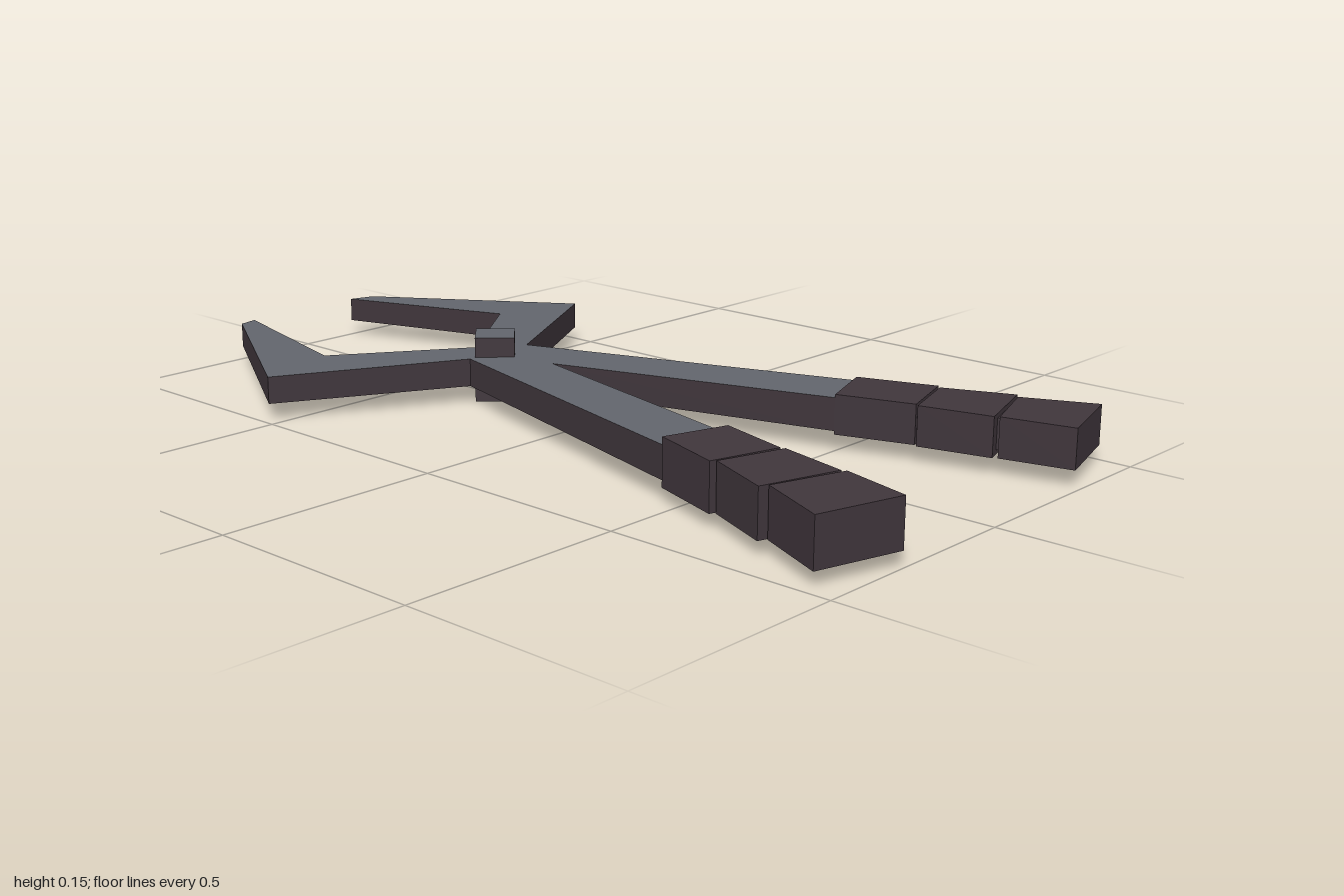
import * as THREE from 'three';

export function createModel() {
  const group = new THREE.Group();
  const steel = new THREE.MeshStandardMaterial({ color: 0x63666d });
  steel.name = 'steel grey';
  const dark = new THREE.MeshStandardMaterial({ color: 0x40363c });
  dark.name = 'dark brown';

  // Upright prism over an [x, z] outline; bottom and top heights vary along z.
  function prism(name, outline, bottom, top, capMaterial) {
    const shape = new THREE.Shape(outline.map(([x, z]) => new THREE.Vector2(x, -z)));
    const geo = new THREE.ExtrudeGeometry(shape, { depth: 1, bevelEnabled: false });
    geo.rotateX(-Math.PI / 2);
    const p = geo.attributes.position;
    for (let i = 0; i < p.count; i++) {
      const z = p.getZ(i);
      p.setY(i, THREE.MathUtils.lerp(bottom(z), top(z), p.getY(i)));
    }
    geo.computeVertexNormals();
    const mesh = new THREE.Mesh(geo, [capMaterial, dark]);
    mesh.name = name;
    group.add(mesh);
  }

  // Crossed shafts and hooked jaws, thinning slightly toward the tips
  prism('shaftsAndJaws', [
    [0, -0.14], [0.175, 0.50], [0.317, 0.45], [0.087, -0.31],
    [0.472, -0.527], [0.2, -0.982], [0.143, -1.0], [0.27, -0.587],
    [-0.005, -0.38],
    [-0.283, -0.583], [-0.165, -0.995], [-0.21, -0.985], [-0.487, -0.525],
    [-0.09, -0.31], [-0.312, 0.46], [-0.172, 0.503],
  ], z => 0.041 + 0.005 * z, z => 0.107 + 0.016 * z, steel);

  // Square pivot pin through the crossing
  prism('pivotPin', [[-0.012, -0.372], [0.05, -0.31], [-0.012, -0.248], [-0.075, -0.31]],
    () => 0, () => 0.147, steel);

  // Three flared segments on each handle: inner/outer start, outer/inner end
  const grips = {
    right: {
      low: 0.03, high: 0.132,
      segments: [
        [[-0.172, 0.503], [-0.315, 0.46], [-0.37, 0.624], [-0.217, 0.667]],
        [[-0.214, 0.676], [-0.36, 0.632], [-0.423, 0.78], [-0.25, 0.831]],
        [[-0.245, 0.84], [-0.405, 0.789], [-0.476, 0.944], [-0.286, 0.996]],
      ],
    },
    left: {
      low: 0.036, high: 0.122,
      segments: [
        [[0.175, 0.5], [0.317, 0.45], [0.376, 0.617], [0.228, 0.663]],
        [[0.222, 0.671], [0.367, 0.626], [0.43, 0.773], [0.26, 0.826]],
        [[0.266, 0.835], [0.416, 0.783], [0.486, 0.935], [0.302, 0.988]],
      ],
    },
  };
  for (const [side, { low, high, segments }] of Object.entries(grips)) {
    segments.forEach((s, i) =>
      prism(`${side}GripSegment${i + 1}`, s, () => low, () => high, dark));
    // Slim core closing the gaps between segments
    const [a, b] = segments[0], [c, d] = segments[2].slice(2);
    const inset = (p, q) => [p[0] + (q[0] - p[0]) * 0.14, p[1] + (q[1] - p[1]) * 0.14];
    const core = [inset(a, b), inset(b, a), inset(c, d), inset(d, c)];
    core[0][1] += 0.02; core[1][1] += 0.02;
    core[2][1] -= 0.02; core[3][1] -= 0.02;
    prism(`${side}GripCore`, core, () => low + 0.01, () => high - 0.01, dark);
  }
  return group;
}
